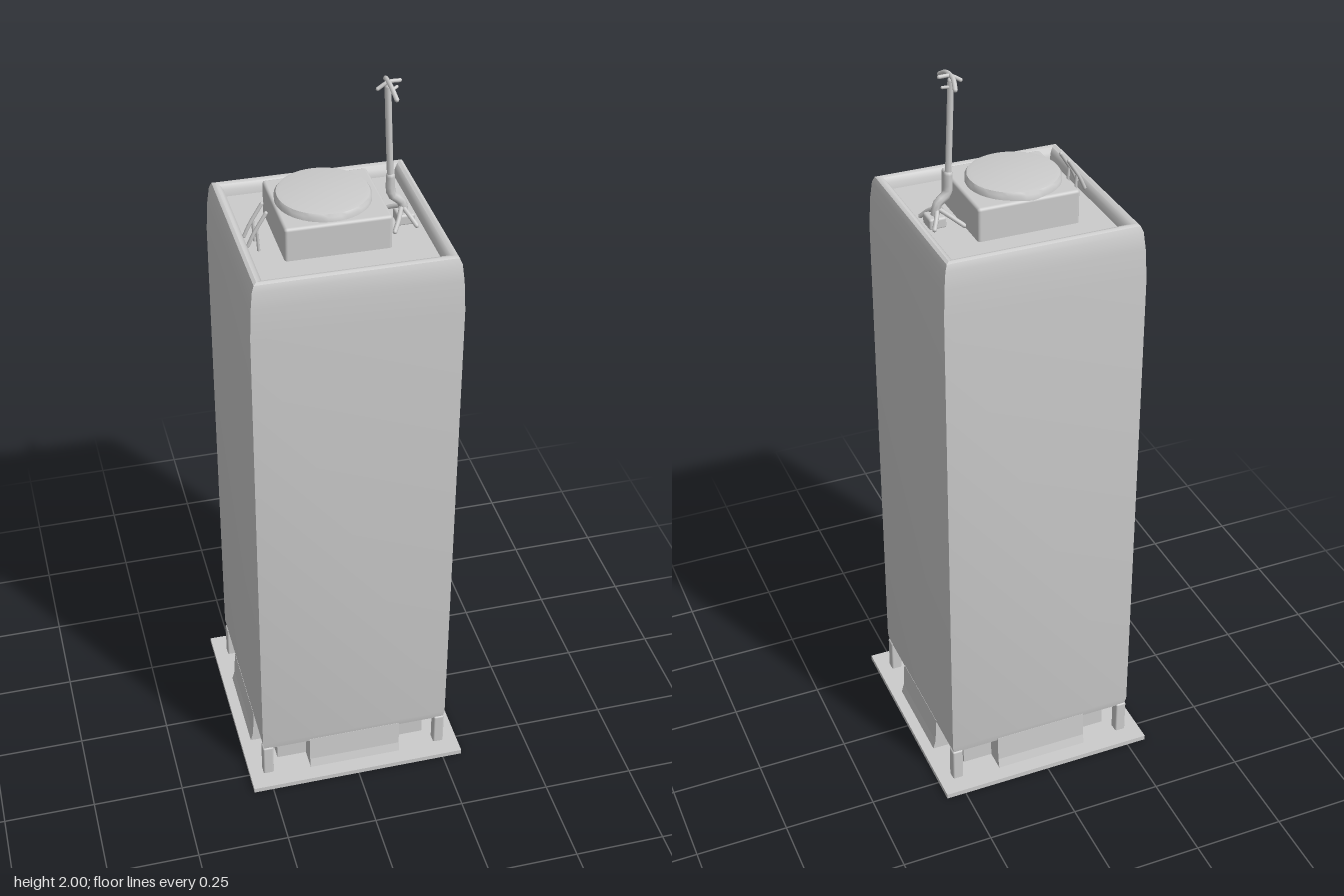
import * as THREE from 'three';
import { toCreasedNormals } from 'three/addons/utils/BufferGeometryUtils.js';
import { RoundedBoxGeometry } from 'three/addons/geometries/RoundedBoxGeometry.js';

const grey = new THREE.MeshStandardMaterial({ color: 0xcccccc });

export function createModel() {
  const model = new THREE.Group();

  const add = (name, geometry, x = 0, y = 0, z = 0, parent = model) => {
    const mesh = new THREE.Mesh(geometry, grey);
    mesh.name = name;
    mesh.position.set(x, y, z);
    parent.add(mesh);
    return mesh;
  };

  // square solid from a profile of [half width, height]
  const squareLathe = (profile) => {
    const points = profile.map(([w, y]) => new THREE.Vector2(w * Math.SQRT2, y));
    return toCreasedNormals(new THREE.LatheGeometry(points, 4, Math.PI / 4), 0.6);
  };

  // thin rod along a few points
  const rod = (name, points, radius, parent) => {
    const path = new THREE.CatmullRomCurve3(points.map((p) => new THREE.Vector3(...p)));
    add(name, new THREE.TubeGeometry(path, 10, radius, 8), 0, 0, 0, parent);
    // close both ends
    for (const p of [points[0], points.at(-1)]) {
      add(name + 'End', new THREE.SphereGeometry(radius, 8, 6), ...p, parent);
    }
  };

  // ground plate
  add('basePlate', new THREE.BoxGeometry(0.61, 0.014, 0.635), 0, 0.007, 0);

  // shaft with softened shoulders, parapet and sunken roof
  add('towerShaft', squareLathe([
    [0, 0.108], [0.262, 0.108], [0.266, 0.13], [0.266, 1.5], [0.262, 1.58], [0.257, 1.625],
    [0.251, 1.64], [0.243, 1.644], [0.234, 1.641], [0.225, 1.63], [0.222, 1.612], [0, 1.612],
  ]));

  // ground floor: recessed core, corner posts, a flared wall on each side
  add('groundFloorCore', new THREE.BoxGeometry(0.43, 0.1, 0.43), 0, 0.06, 0);
  for (const x of [-1, 1]) {
    for (const z of [-1, 1]) {
      add('cornerPost', new RoundedBoxGeometry(0.03, 0.102, 0.03, 2, 0.005), x * 0.251, 0.06, z * 0.251);
    }
  }
  const wallShape = new THREE.Shape([
    new THREE.Vector2(0.2, 0.01), new THREE.Vector2(0.276, 0.01), new THREE.Vector2(0.268, 0.04),
    new THREE.Vector2(0.264, 0.115), new THREE.Vector2(0.2, 0.115),
  ]);
  const wall = new THREE.ExtrudeGeometry(wallShape, { depth: 0.262, bevelEnabled: false });
  wall.translate(0, 0, -0.131);
  for (let i = 0; i < 4; i++) {
    add('entranceWall', wall).rotation.y = i * Math.PI / 2;
  }

  // rooftop block and round cap
  add('roofBlock', new RoundedBoxGeometry(0.268, 0.1, 0.25, 3, 0.008), -0.012, 1.65, -0.004);
  const cap = [[0, 1.69], [0.12, 1.69], [0.12, 1.712], [0.115, 1.719], [0.105, 1.721], [0, 1.721]]
    .map(([r, y]) => new THREE.Vector2(r, y));
  add('roundCap', toCreasedNormals(new THREE.LatheGeometry(cap, 48), 0.7), -0.02, 0, -0.008);

  // bent mast with feet and small arms
  const mast = new THREE.Group();
  mast.name = 'mast';
  model.add(mast);
  rod('mastLower', [[0.185, 1.612, 0], [0.178, 1.665, 0], [0.152, 1.69, 0], [0.148, 1.74, 0]], 0.012, mast);
  rod('mastUpper', [[0.148, 1.73, 0], [0.142, 1.86, 0], [0.137, 1.98, 0]], 0.0085, mast);
  const feet = [[0.145, 0.06], [0.205, 0.045], [0.2, -0.038], [0.125, -0.045]];
  for (const [x, z] of feet) {
    rod('mastFoot', [[0.178, 1.655, 0], [(x + 0.178) / 2, 1.638, z * 0.6], [x, 1.618, z]], 0.006, mast);
  }
  add('mastFootBlock', new RoundedBoxGeometry(0.045, 0.03, 0.05, 2, 0.006), 0.185, 1.624, 0, mast);
  rod('crossArm', [[0.142, 1.975, 0.06], [0.138, 1.992, 0.025], [0.138, 1.992, -0.02], [0.145, 1.978, -0.05]], 0.006, mast);
  rod('shortArm', [[0.112, 1.978, 0], [0.138, 1.993, 0], [0.166, 1.994, 0]], 0.005, mast);
  rod('lowerArm', [[0.138, 1.965, 0], [0.163, 1.972, -0.012]], 0.004, mast);

  // pair of leaning whips at the opposite parapet
  for (const z of [0.008, 0.055]) {
    rod('roofWhip', [[-0.222, 1.63, z], [-0.208, 1.66, z], [-0.176, 1.712, z - 0.002]], 0.005, model);
    rod('roofWhipStay', [[-0.2, 1.675, z], [-0.196, 1.612, z]], 0.004, model);
  }

  return model;
}
